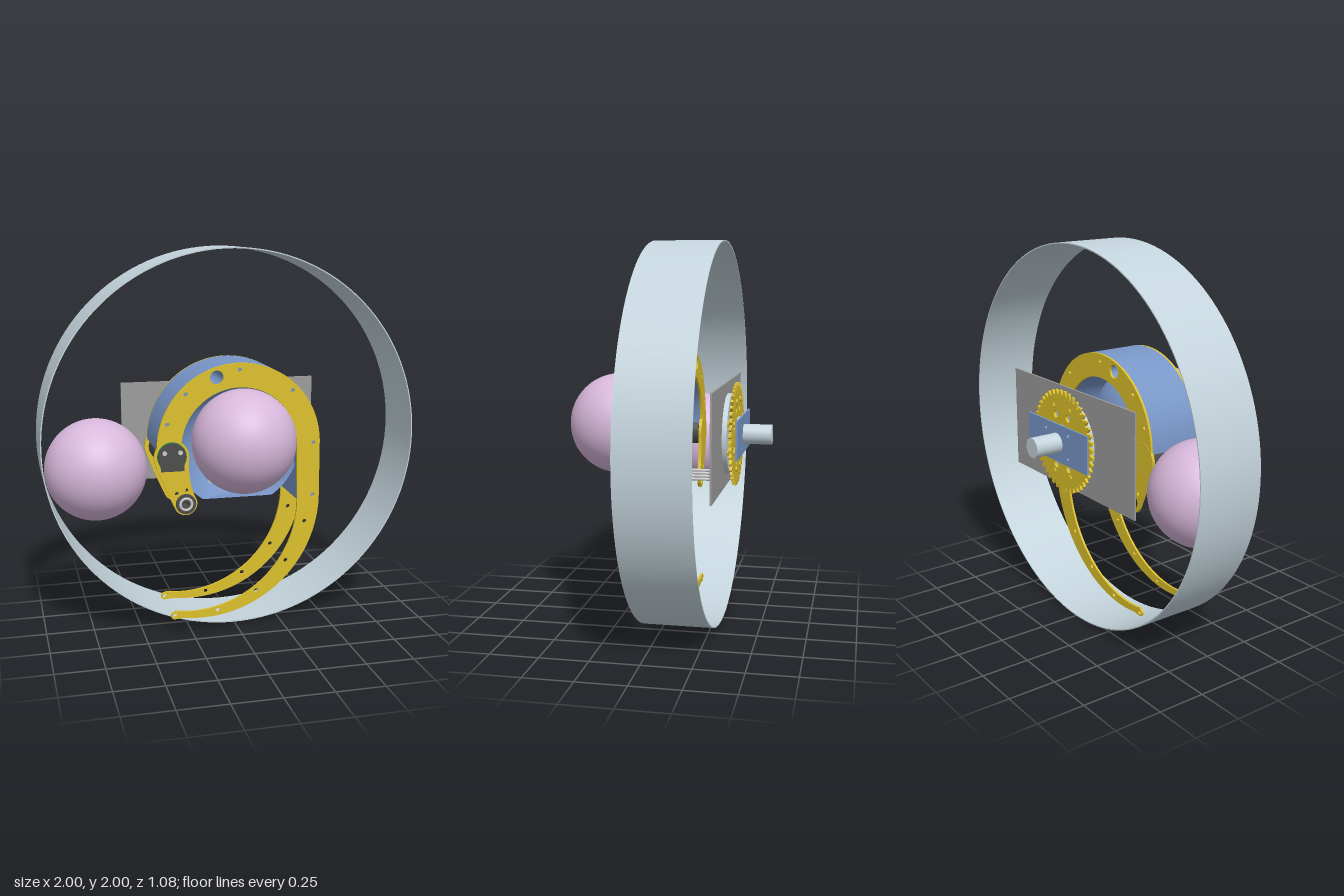
import * as THREE from 'three';
import { toCreasedNormals } from 'three/addons/utils/BufferGeometryUtils.js';

const mat = (color) => new THREE.MeshStandardMaterial({ color, side: THREE.DoubleSide });

export function createModel() {
  const model = new THREE.Group();
  const steel = mat(0xc4d4dc), yellow = mat(0xdcc02c), blue = mat(0x7896c8);
  const pink = mat(0xd8b8dc), plateGrey = mat(0x9c9c9c), dark = mat(0x4c4c4c);
  const green = mat(0x2f7a44), grey = mat(0xcccccc);

  const add = (name, geometry, material, x = 0, y = 0, z = 0) => {
    const mesh = new THREE.Mesh(geometry, material);
    mesh.name = name;
    mesh.position.set(x, y, z);
    model.add(mesh);
    return mesh;
  };
  // flat part cut from a shape, spanning z0 to z1
  const cut = (name, shape, z0, z1, material, x = 0, y = 0) => {
    const geo = new THREE.ExtrudeGeometry(shape, { depth: z1 - z0, bevelEnabled: false, curveSegments: 40 });
    return add(name, toCreasedNormals(geo, 0.5), material, x, y, z0);
  };
  // round bar along z
  const rod = (name, r, x, y, z0, z1, material, sides = 32) =>
    add(name, new THREE.CylinderGeometry(r, r, z1 - z0, sides).rotateX(Math.PI / 2), material, x, y, (z0 + z1) / 2);
  const hole = (shape, x, y, r) => {
    const p = new THREE.Path();
    p.absarc(x, y, r, 0, Math.PI * 2, true);
    shape.holes.push(p);
  };

  // thin outer hoop
  const hoop = [[0.994, -0.29], [1, -0.29], [1, 0.07], [0.994, 0.07], [0.994, -0.29]];
  add('outerHoop', toCreasedNormals(new THREE.LatheGeometry(
    hoop.map(([r, z]) => new THREE.Vector2(r, z)), 128).rotateX(Math.PI / 2), 0.5), steel, 0, 1, 0);

  // balls
  const ball = new THREE.SphereGeometry(0.265, 48, 32);
  add('heldBall', ball, pink, 0, 1.045, 0.27);
  add('sideBall', ball, pink, -0.715, 0.87, -0.03);

  // arched housing between the side plates
  const arch = new THREE.Shape();
  arch.moveTo(0.31, 0.7);
  arch.lineTo(0.42, 0.63);
  arch.lineTo(0.43, 0.72);
  arch.lineTo(0.43, 1);
  arch.absarc(0, 1, 0.43, 0, Math.PI, false);
  arch.lineTo(-0.31, 1);
  arch.absarc(0, 1, 0.31, Math.PI, 0, true);
  hole(arch, -0.12, 1.36, 0.035);
  cut('archHousing', arch, -0.11, 0.175, blue);

  // cupped seat with a flattened lower edge
  const cupCurve = new THREE.SplineCurve(
    [[0.001, -0.07], [0.15, -0.05], [0.26, 0.02], [0.335, 0.14]].map(([r, z]) => new THREE.Vector2(r, z)));
  const cup = new THREE.LatheGeometry(cupCurve.getPoints(14), 64).rotateX(Math.PI / 2);
  const pos = cup.attributes.position;
  for (let i = 0; i < pos.count; i++) pos.setY(i, Math.max(pos.getY(i), -0.28));
  cup.computeVertexNormals();
  add('ballCup', cup, blue, 0, 1, 0);

  // curved side plate with a long hooked finger
  const finger = new THREE.Shape();
  finger.moveTo(-0.43, 0.93);
  finger.lineTo(-0.3, 0.93);
  finger.lineTo(-0.305, 1);
  finger.absarc(0, 1, 0.305, Math.PI, 0, true);
  finger.lineTo(0.31, 0.69);
  finger.absarc(-0.25, 0.69, 0.56, 0, -1.74, true);
  finger.absarc(-0.348, 0.113, 0.02, 1.4, 4.6, false);
  finger.absarc(-0.2, 0.72, 0.63, -1.8, 0, false);
  finger.lineTo(0.43, 1);
  finger.absarc(0, 1, 0.43, 0, Math.PI, false);
  hole(finger, -0.12, 1.36, 0.035);
  [[0, 1.395], [-0.28, 1.28], [0.28, 1.28], [-0.375, 1.13], [0.395, 1], [0.395, 0.72], [0.353, 0.578],
    [0.251, 0.369], [0.09, 0.214], [-0.118, 0.123], [-0.347, 0.112]].forEach(([x, y]) => hole(finger, x, y, 0.011));

  // tapered roller arm
  const arm = new THREE.Shape();
  arm.absarc(-0.355, 0.96, 0.09, -0.2, Math.PI + 0.25, false);
  arm.quadraticCurveTo(-0.4, 0.82, -0.344, 0.7);
  arm.absarc(-0.285, 0.715, 0.06, Math.PI + 0.25, Math.PI * 2 + 0.5, false);
  arm.quadraticCurveTo(-0.27, 0.82, -0.267, 0.942);
  hole(arm, -0.285, 0.715, 0.04);
  hole(arm, -0.33, 0.77, 0.01);
  hole(arm, -0.28, 0.785, 0.01);

  for (const [side, z] of [['front', 0.175], ['back', -0.122]]) {
    cut(side + 'FingerPlate', finger, z, z + 0.012, yellow);
    cut(side + 'RollerArm', arm, z - 0.002, z + 0.014, yellow);
  }

  // motor between the arms, with its round board and connectors
  rod('motorBody', 0.07, -0.355, 0.96, -0.1, 0.17, dark);
  rod('motorBoard', 0.075, -0.355, 0.965, 0.187, 0.2, green);
  rod('motorCap', 0.073, -0.355, 0.965, 0.2, 0.212, dark, 12);
  add('motorConnector', new THREE.BoxGeometry(0.12, 0.05, 0.012), dark, -0.355, 0.92, 0.212);
  for (const x of [-0.395, -0.315]) rod('motorScrew', 0.012, x, 0.99, 0.21, 0.22, grey, 12);

  // small guide roller at the arm end
  const roller = new THREE.Shape().absarc(0, 0, 0.052, 0, Math.PI * 2, false);
  hole(roller, 0, 0, 0.016);
  cut('guideRoller', roller, 0.12, 0.2, dark, -0.285, 0.715);
  add('rollerRing', new THREE.TorusGeometry(0.03, 0.007, 8, 32), grey, -0.285, 0.715, 0.2);

  // rear mounting plate and its standoffs
  add('rearPlate', new THREE.BoxGeometry(1.08, 0.54, 0.01), plateGrey, 0, 1.005, -0.3);
  for (const x of [-0.12, -0.04, 0.04, 0.12]) rod('standoff', 0.008, x, 0.78, -0.295, 0.02, grey, 12);

  // toothed drive wheel
  const teeth = 44, wheel = new THREE.Shape();
  for (let i = 0; i < teeth; i++) {
    [[0, 0.245], [0.25, 0.245], [0.45, 0.27], [0.75, 0.27]].forEach(([f, r], k) => {
      const a = ((i + f) / teeth) * Math.PI * 2;
      wheel[i + k ? 'lineTo' : 'moveTo'](r * Math.cos(a), r * Math.sin(a));
    });
  }
  wheel.closePath();
  for (let i = 0; i < 8; i++) {
    const a = ((i + 0.5) / 8) * Math.PI * 2, c = Math.cos(a), s = Math.sin(a);
    hole(wheel, 0.145 * c, 0.145 * s, 0.02);
    rod('wheelBolt', 0.014, 0.19 * c, 1.005 + 0.19 * s, -0.368, -0.33, yellow, 6);
  }
  cut('driveWheel', wheel, -0.36, -0.346, yellow, 0, 1.005);

  // hub, bearing, cross plate and shaft
  rod('hubDisc', 0.21, 0, 1.005, -0.33, -0.305, steel, 48);
  rod('hubSpacer', 0.11, 0, 1.005, -0.346, -0.33, steel);
  rod('bearing', 0.09, 0, 1.005, -0.382, -0.36, steel);
  const cross = new THREE.Shape([[-0.27, -0.1], [0.27, -0.1], [0.27, 0.1], [-0.27, 0.1]].map(([x, y]) => new THREE.Vector2(x, y)));
  for (const x of [-0.1, 0.1]) for (const y of [-0.06, 0.06]) hole(cross, x, y, 0.01);
  cut('crossPlate', cross, -0.392, -0.382, blue, 0, 1.005);
  rod('driveShaft', 0.052, 0, 1.005, -0.54, -0.33, steel);

  return model;
}
